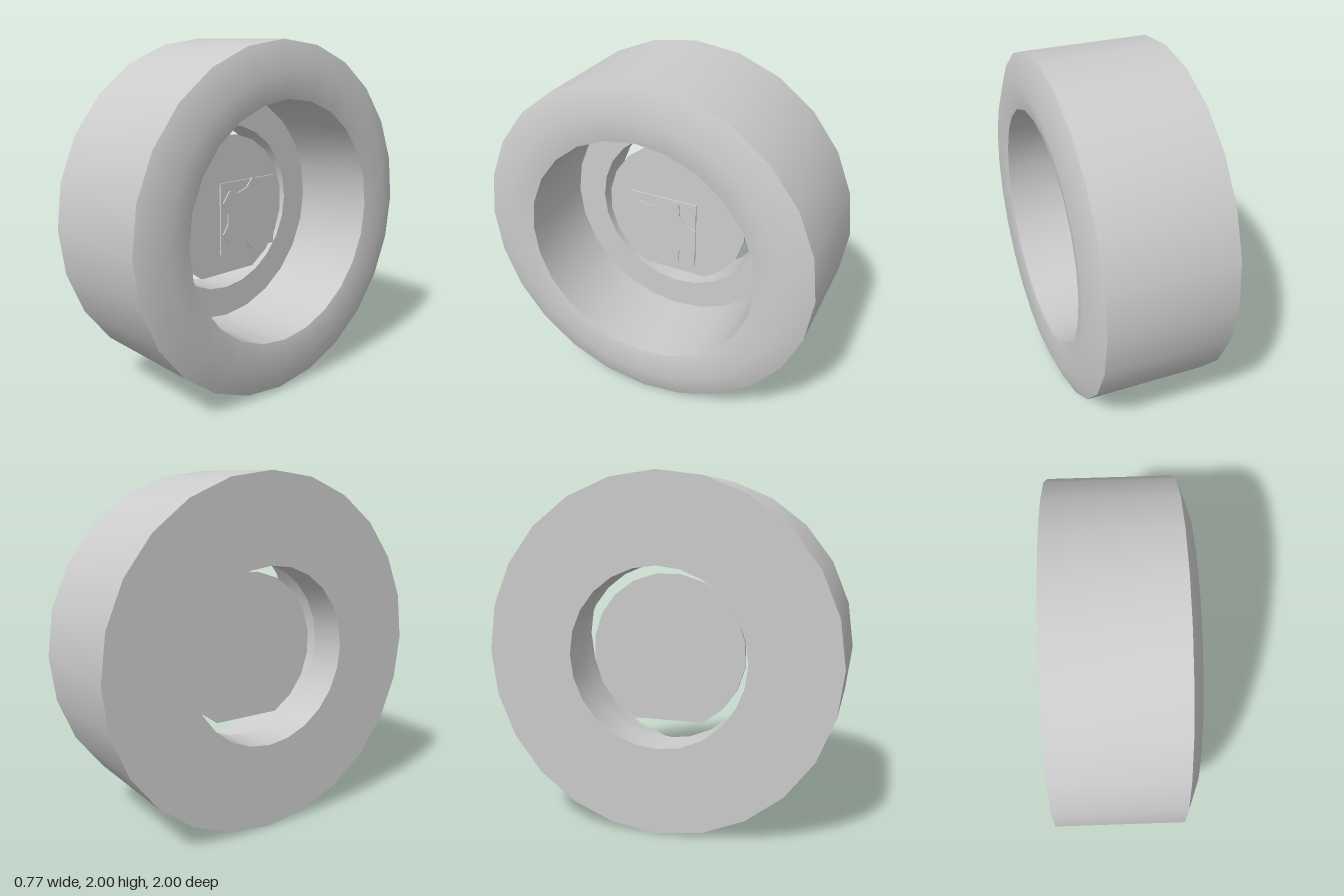
import * as THREE from 'three';
import { toCreasedNormals } from 'three/addons/utils/BufferGeometryUtils.js';

const material = new THREE.MeshStandardMaterial({ color: 0xcccccc, side: THREE.DoubleSide });

// Point at an angle in degrees and a radius
const polar = (deg, r) => {
  const a = THREE.MathUtils.degToRad(deg);
  return new THREE.Vector2(r * Math.cos(a), r * Math.sin(a));
};

// Thin plate facing +x, cut from an outline, between two x positions
function plate(name, points, xBack, xFront) {
  const geometry = new THREE.ExtrudeGeometry(new THREE.Shape(points), {
    depth: xFront - xBack, bevelEnabled: false,
  });
  geometry.rotateY(Math.PI / 2).translate(xBack, 0, 0);
  const mesh = new THREE.Mesh(geometry, material);
  mesh.name = name;
  return mesh;
}

export function createModel() {
  const model = new THREE.Group();
  model.name = 'wheel';

  // Tyre: closed profile of [radius, x], with a raised lip and a stepped bore
  const profile = [
    [1, -0.385], [1, 0.32], [0.835, 0.383], [0.688, 0.355],
    [0.688, -0.16], [0.505, -0.16], [0.505, -0.385], [1, -0.385],
  ].map(([r, x]) => new THREE.Vector2(r, x));
  const ring = new THREE.LatheGeometry(profile, 24).rotateZ(-Math.PI / 2);
  const tyre = new THREE.Mesh(toCreasedNormals(ring, THREE.MathUtils.degToRad(40)), material);
  tyre.name = 'tyre';
  model.add(tyre);

  // Hub disc: a 20-sided circle with its lowest two corners cut off flat
  const disc = [];
  for (let i = 0; i < 18; i++) disc.push(polar(-63 + i * 18, 0.45));
  model.add(plate('hubDisc', disc, -0.16, -0.14));

  // Square hub plate
  const s = 0.21;
  const square = [[-s, -s], [s, -s], [s, s], [-s, s]].map(([x, y]) => new THREE.Vector2(x, y));
  model.add(plate('hubPlate', square, 0.03, 0.04));

  // Five-lobed cap with blunt tips and blunt valleys
  const star = [];
  for (let i = 0; i < 5; i++) {
    const a = i * 72;
    star.push(polar(a - 11, 0.219), polar(a + 11, 0.219), polar(a + 25, 0.163), polar(a + 47, 0.163));
  }
  model.add(plate('hubCap', star, 0.04, 0.048));

  model.position.y = 1;
  const root = new THREE.Group();
  root.add(model);
  return root;
}
